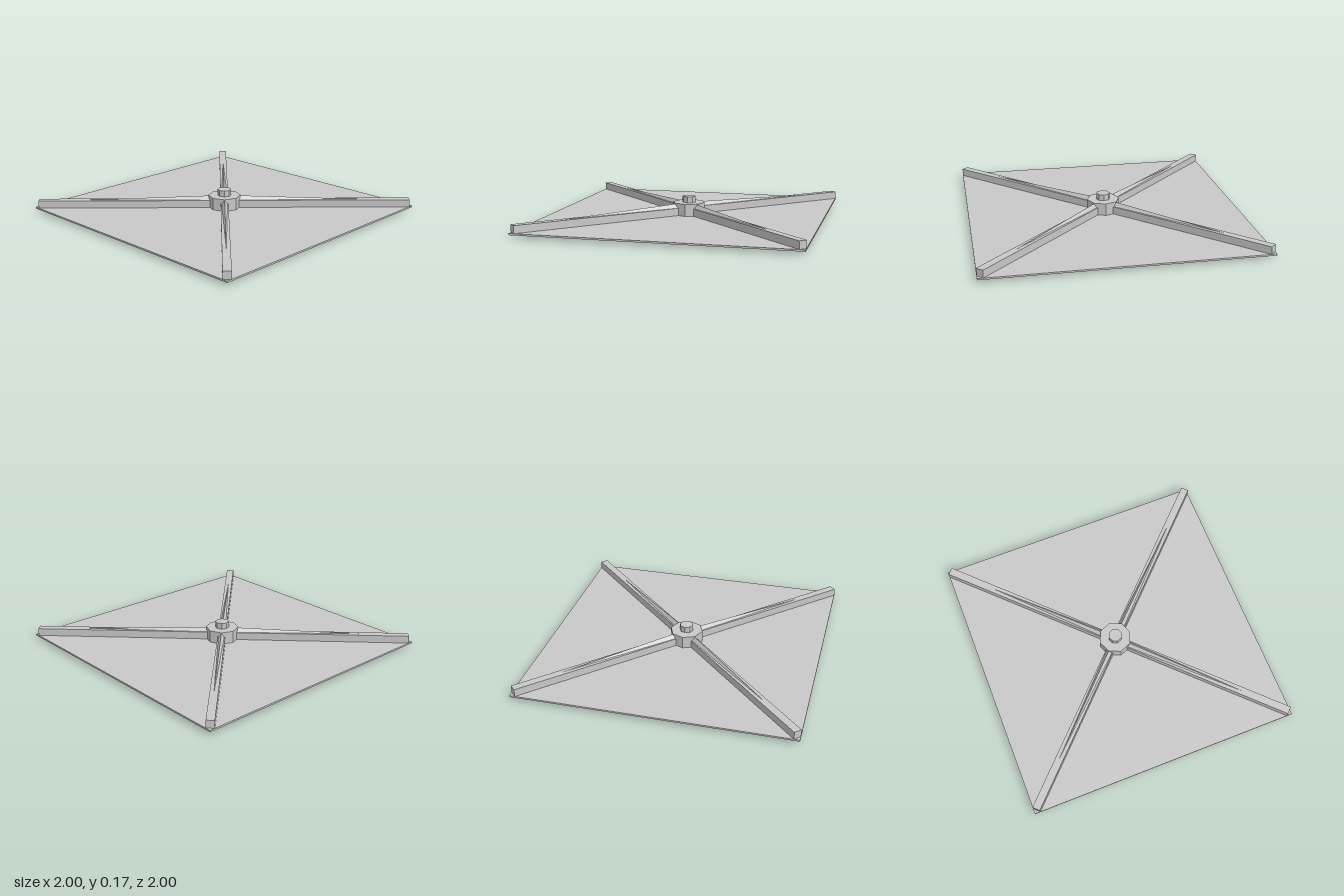
import * as THREE from 'three';

export function createModel() {
  const model = new THREE.Group();
  const grey = new THREE.MeshStandardMaterial({ color: 0xc8c8c8, flatShading: true });
  grey.name = 'light grey';

  function add(parent, name, geometry, x, y, z) {
    const mesh = new THREE.Mesh(geometry, grey);
    mesh.name = name;
    mesh.position.set(x, y, z);
    parent.add(mesh);
    return mesh;
  }

  // Tapering triangular rib: full section at the hub, a point at the far end
  function ribGeometry(halfWidth, height, start, end) {
    const a = [start, 0, halfWidth], b = [start, 0, -halfWidth];
    const top = [start, height, 0], tip = [end, 0, 0];
    const geometry = new THREE.BufferGeometry();
    const corners = [a, tip, top, b, top, tip, a, top, b, a, b, tip].flat();
    geometry.setAttribute('position', new THREE.Float32BufferAttribute(corners, 3));
    geometry.computeVertexNormals();
    return geometry;
  }

  // Square panel
  add(model, 'panel', new THREE.BoxGeometry(2, 0.012, 2), 0, 0.029, 0);

  // Octagonal hub passing through the panel, with a small cap
  add(model, 'hub', new THREE.CylinderGeometry(0.12, 0.12, 0.125, 8), 0, 0.0625, 0);
  add(model, 'hubCap', new THREE.CylinderGeometry(0.05, 0.05, 0.045, 8), 0, 0.1475, 0);

  // Four diagonal beams, each with a rib on top
  const beamStart = 0.06, beamEnd = 1.386;
  for (let i = 0; i < 4; i++) {
    const arm = new THREE.Group();
    arm.name = 'arm' + (i + 1);
    arm.rotation.y = Math.PI / 4 + i * Math.PI / 2;
    const length = beamEnd - beamStart;
    add(arm, 'beam', new THREE.BoxGeometry(length, 0.055, 0.057), beamStart + length / 2, 0.0625, 0);
    add(arm, 'rib', ribGeometry(0.022, 0.031, 0.09, 1.02), 0, 0.09, 0);
    model.add(arm);
  }
  return model;
}
